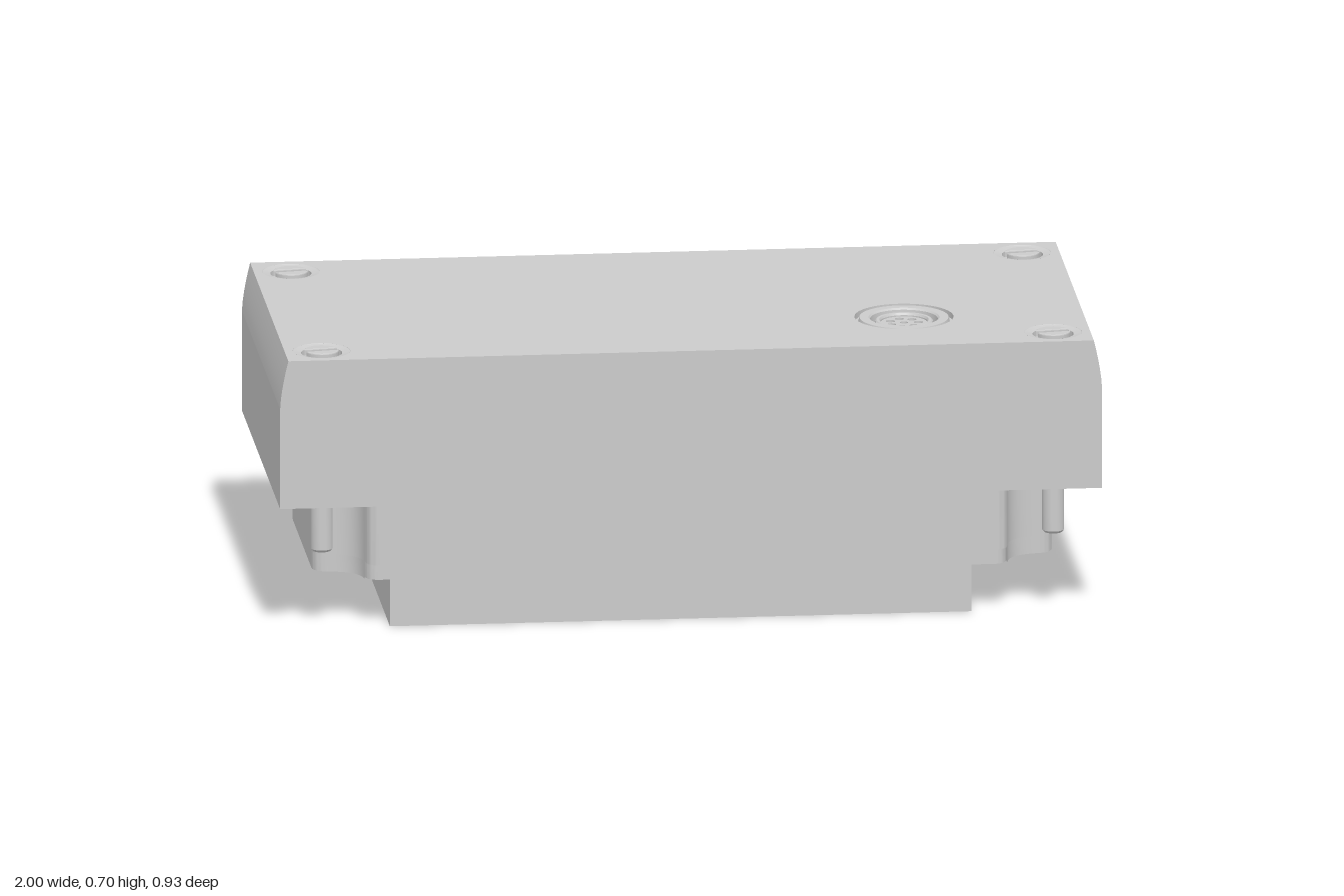
import * as THREE from 'three';
import { toCreasedNormals } from 'three/addons/utils/BufferGeometryUtils.js';

const HX = 1, HZ = 0.464, TOP = 0.7, SHOULDER = 0.58, BASE = 0.33;
const SCREW_X = 0.89, SCREW_Z = 0.373;
const PORT_X = 0.545, PORT_Z = 0.195;
const material = new THREE.MeshStandardMaterial({ color: 0xcccccc });
const openMaterial = new THREE.MeshStandardMaterial({ color: 0xcccccc, side: THREE.DoubleSide });

function add(parent, name, geometry, x = 0, y = 0, z = 0, mat = material) {
  const mesh = new THREE.Mesh(geometry, mat);
  mesh.name = name;
  mesh.position.set(x, y, z);
  parent.add(mesh);
  return mesh;
}

// Extrudes a plan shape (drawn with y = -z) upward from y = 0
function extrudeUp(shape, depth, steps = 1) {
  return new THREE.ExtrudeGeometry(shape, { depth, steps, bevelEnabled: false, curveSegments: 24 })
    .rotateX(-Math.PI / 2);
}

function lathe(points, segments = 40) {
  const geometry = new THREE.LatheGeometry(points.map(([r, y]) => new THREE.Vector2(r, y)), segments);
  return toCreasedNormals(geometry, 0.5);
}

function circle(x, z, r) {
  return new THREE.Path().absarc(x, -z, r, 0, Math.PI * 2, true);
}

// Calls fn for each of the four screw positions
function eachCorner(fn) {
  for (const sx of [-1, 1]) for (const sz of [-1, 1]) fn(sx * SCREW_X, sz * SCREW_Z);
}

// Body plan: rectangle whose corners are scooped out around the screws
function bodyShape(front, back) {
  const corner = (edge) => {
    const pts = [];
    const push = (curve) => pts.push(...curve.getPoints(10));
    const v = (x, z) => new THREE.Vector2(x, z);
    push(new THREE.QuadraticBezierCurve(v(0.745, edge), v(0.775, edge), v(0.78, edge - 0.03)));
    push(new THREE.CubicBezierCurve(v(0.782, 0.34), v(0.79, 0.28), v(0.83, 0.27), v(0.865, 0.264)));
    push(new THREE.QuadraticBezierCurve(v(0.865, 0.264), v(0.9, 0.26), v(0.9, 0.225)));
    return pts;
  };
  const mirror = (pts, sx, sy) => pts.map((p) => new THREE.Vector2(p.x * sx, p.y * sy));
  const f = corner(front), b = corner(back);
  return new THREE.Shape([
    ...mirror(f, 1, -1), ...mirror(b, 1, 1).reverse(),
    ...mirror(b, -1, 1), ...mirror(f, -1, -1).reverse(),
  ]);
}

function createCover() {
  const cover = new THREE.Group();
  cover.name = 'cover';
  add(cover, 'coverLower', new THREE.BoxGeometry(HX * 2, SHOULDER - BASE, HZ * 2), 0, (SHOULDER + BASE) / 2, 0);

  // Upper slab with screw and port holes; its ends curve inward toward the top
  const plan = new THREE.Shape();
  plan.moveTo(-HX, -HZ).lineTo(HX, -HZ).lineTo(HX, HZ).lineTo(-HX, HZ).closePath();
  eachCorner((x, z) => plan.holes.push(circle(x, z, 0.07)));
  plan.holes.push(circle(PORT_X, PORT_Z, 0.12));
  const slab = extrudeUp(plan, TOP - SHOULDER, 5);
  const pos = slab.attributes.position;
  for (let i = 0; i < pos.count; i++) {
    const x = pos.getX(i);
    if (Math.abs(x) < 0.99) continue;
    const t = Math.max(0, pos.getY(i) / (TOP - SHOULDER));
    pos.setX(i, Math.sign(x) * (HX - 0.02 * Math.pow(t, 1.5)));
  }
  slab.computeVertexNormals();
  add(cover, 'coverTop', toCreasedNormals(slab, 0.4), 0, SHOULDER, 0);
  return cover;
}

function createScrew(x, z) {
  const screw = new THREE.Group();
  screw.name = 'screw';
  screw.position.set(x, 0, z);
  // Countersunk seat filling the hole rim
  add(screw, 'seat', lathe([[0.07, 0.7], [0.069, 0.699], [0.05, 0.695], [0.048, 0.67], [0, 0.67]]), 0, 0, 0, openMaterial);
  // Shank below the cover, with collar and chamfered tip
  add(screw, 'shank', lathe([[0, 0.2], [0.022, 0.2], [0.027, 0.206], [0.027, 0.318], [0.02, 0.32], [0.02, 0.335]], 24));
  // Slotted head in two halves
  for (const s of [-1, 1]) {
    const half = new THREE.Shape();
    const a = Math.asin(0.01 / 0.042);
    half.absarc(0, 0, 0.042, a, Math.PI - a, false);
    half.closePath();
    const geo = new THREE.ExtrudeGeometry(half, {
      depth: 0.028, bevelSize: 0.002, bevelThickness: 0.003, bevelOffset: -0.002, bevelSegments: 2, curveSegments: 16,
    }).rotateX(-Math.PI / 2);
    const mesh = add(screw, 'slottedHead', geo, 0, 0.672, 0);
    mesh.rotation.y = s > 0 ? 0.15 : Math.PI + 0.15;
  }
  add(screw, 'slotFloor', new THREE.CylinderGeometry(0.042, 0.042, 0.02, 24), 0, 0.678, 0);
  return screw;
}

function createPort() {
  const port = new THREE.Group();
  port.name = 'ventPort';
  port.position.set(PORT_X, 0, PORT_Z);
  // Outer groove, flat rim and inner well
  add(port, 'portRim', lathe([
    [0.12, 0.7], [0.12, 0.685], [0.112, 0.685], [0.108, 0.699], [0.086, 0.699],
    [0.082, 0.695], [0.08, 0.672], [0, 0.672],
  ], 48), 0, 0, 0, openMaterial);
  // Vent cap: raised ring around a perforated disc
  add(port, 'capRing', lathe([[0.07, 0.672], [0.07, 0.69], [0.067, 0.693], [0.06, 0.693], [0.057, 0.688], [0.057, 0.672]]), 0, 0, 0, openMaterial);
  const disc = new THREE.Shape().absarc(0, 0, 0.058, 0, Math.PI * 2, false);
  disc.holes.push(circle(0, 0, 0.01));
  for (let i = 0; i < 7; i++) {
    const a = (i / 7) * Math.PI * 2;
    disc.holes.push(circle(Math.cos(a) * 0.035, Math.sin(a) * 0.035, 0.011));
  }
  add(port, 'perforatedDisc', extrudeUp(disc, 0.012), 0, 0.673, 0);
  return port;
}

export function createModel() {
  const model = new THREE.Group();
  model.name = 'enclosure';
  model.add(createCover());

  // Body under the cover, with a slightly deeper upper part at the front
  const smooth = (g) => toCreasedNormals(g, 0.6);
  add(model, 'bodyUpper', smooth(extrudeUp(bodyShape(0.382, 0.38), BASE - 0.16)), 0, 0.16, 0);
  add(model, 'bodyLower', smooth(extrudeUp(bodyShape(0.355, 0.38), 0.16 - 0.117)), 0, 0.117, 0);

  // Rectangular foot block
  add(model, 'footBlock', new THREE.BoxGeometry(1.415, 0.12, 0.735), -0.0145, 0.06, -0.0125);

  eachCorner((x, z) => model.add(createScrew(x, z)));
  model.add(createPort());
  return model;
}
